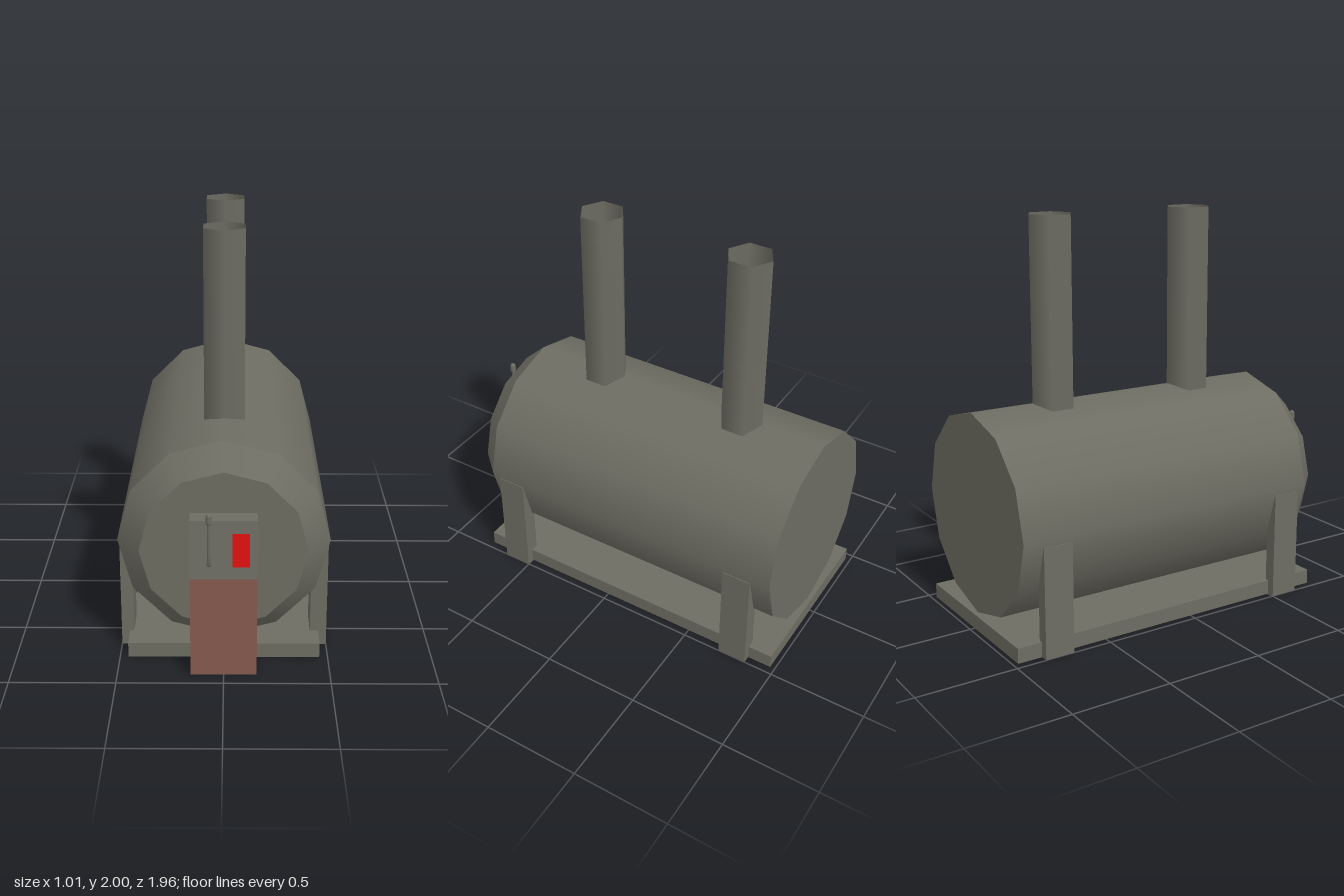
import * as THREE from 'three';

const material = (name, color, side = THREE.FrontSide) => {
  const m = new THREE.MeshStandardMaterial({ color, side });
  m.name = name;
  return m;
};

export function createModel() {
  const group = new THREE.Group();
  const steel = material('grey steel', 0x6e6d63, THREE.DoubleSide);
  const rust = material('rust brown', 0x865a4f, THREE.DoubleSide);
  const red = material('red', 0xdd0f0f);

  const add = (name, geometry, mat, x = 0, y = 0, z = 0) => {
    const mesh = new THREE.Mesh(geometry, mat);
    mesh.name = name;
    mesh.position.set(x, y, z);
    group.add(mesh);
    return mesh;
  };

  // Folded sheet box from min to max corners, without a bottom
  const openBox = (name, mat, [x0, y0, z0], [x1, y1, z1]) => {
    const g = new THREE.BoxGeometry(x1 - x0, y1 - y0, z1 - z0);
    const index = Array.from(g.index.array);
    index.splice(18, 6);
    g.setIndex(index);
    g.clearGroups();
    return add(name, g, mat, (x0 + x1) / 2, (y0 + y1) / 2, (z0 + z1) / 2);
  };

  // Twelve-sided tank lying along z, with a tapered front rim
  const tankY = 0.585, tankR = 0.505, frontR = 0.395;
  const body = new THREE.CylinderGeometry(tankR, tankR, 1.645, 12, 1, true).rotateX(Math.PI / 2);
  add('tankBody', body, steel, 0, tankY, -0.1325);
  const rim = new THREE.CylinderGeometry(frontR, tankR, 0.12, 12, 1, true).rotateX(Math.PI / 2);
  add('tankFrontRim', rim, steel, 0, tankY, 0.75);
  add('tankFrontPlate', new THREE.CircleGeometry(frontR, 12), steel, 0, tankY, 0.81);
  add('tankBackPlate', new THREE.CircleGeometry(tankR, 12).rotateY(Math.PI), steel, 0, tankY, -0.955);

  // Open hexagonal chimneys
  for (const z of [0.288, -0.512]) {
    add('chimney', new THREE.CylinderGeometry(0.114, 0.114, 0.95, 6, 1, true), steel, 0, 1.525, z);
  }

  // Tray base and four posts
  openBox('base', steel, [-0.46, 0, -0.975], [0.46, 0.075, 0.77]);
  for (const [z0, z1] of [[0.5, 0.65], [-0.85, -0.7]]) {
    openBox('leftPost', steel, [0.42, 0, z0], [0.5, 0.55, z1]);
    openBox('rightPost', steel, [-0.5, 0, z0], [-0.44, 0.55, z1]);
  }

  // Control cabinet: rusty lower half, sloped steel upper half
  openBox('cabinetLower', rust, [-0.155, 0, 0.8], [0.155, 0.5, 0.925]);
  const profile = new THREE.Shape([
    new THREE.Vector2(0.8, 0.5), new THREE.Vector2(0.925, 0.5),
    new THREE.Vector2(0.897, 0.78), new THREE.Vector2(0.8, 0.78),
  ]);
  const upper = new THREE.ExtrudeGeometry(profile, { depth: 0.31, bevelEnabled: false });
  add('cabinetUpper', upper.rotateY(-Math.PI / 2), steel, 0.155);

  // Red plate on the sloped face
  const plate = add('redPlate', new THREE.BoxGeometry(0.08, 0.16, 0.008), red, 0.08, 0.64, 0.912);
  plate.rotation.x = -0.1;

  // Bent lever with a grip and a round base
  const path = new THREE.CatmullRomCurve3([
    [0.9, 0.574], [0.93, 0.576], [0.955, 0.587], [0.965, 0.62], [0.967, 0.7], [0.967, 0.8],
  ].map(([z, y]) => new THREE.Vector3(-0.065, y, z)));
  add('lever', new THREE.TubeGeometry(path, 20, 0.008, 8), steel);
  add('leverGrip', new THREE.CapsuleGeometry(0.015, 0.03, 4, 8), steel, -0.065, 0.818, 0.967);
  add('leverBase', new THREE.SphereGeometry(0.013, 8, 6), steel, -0.065, 0.574, 0.918);

  return group;
}
